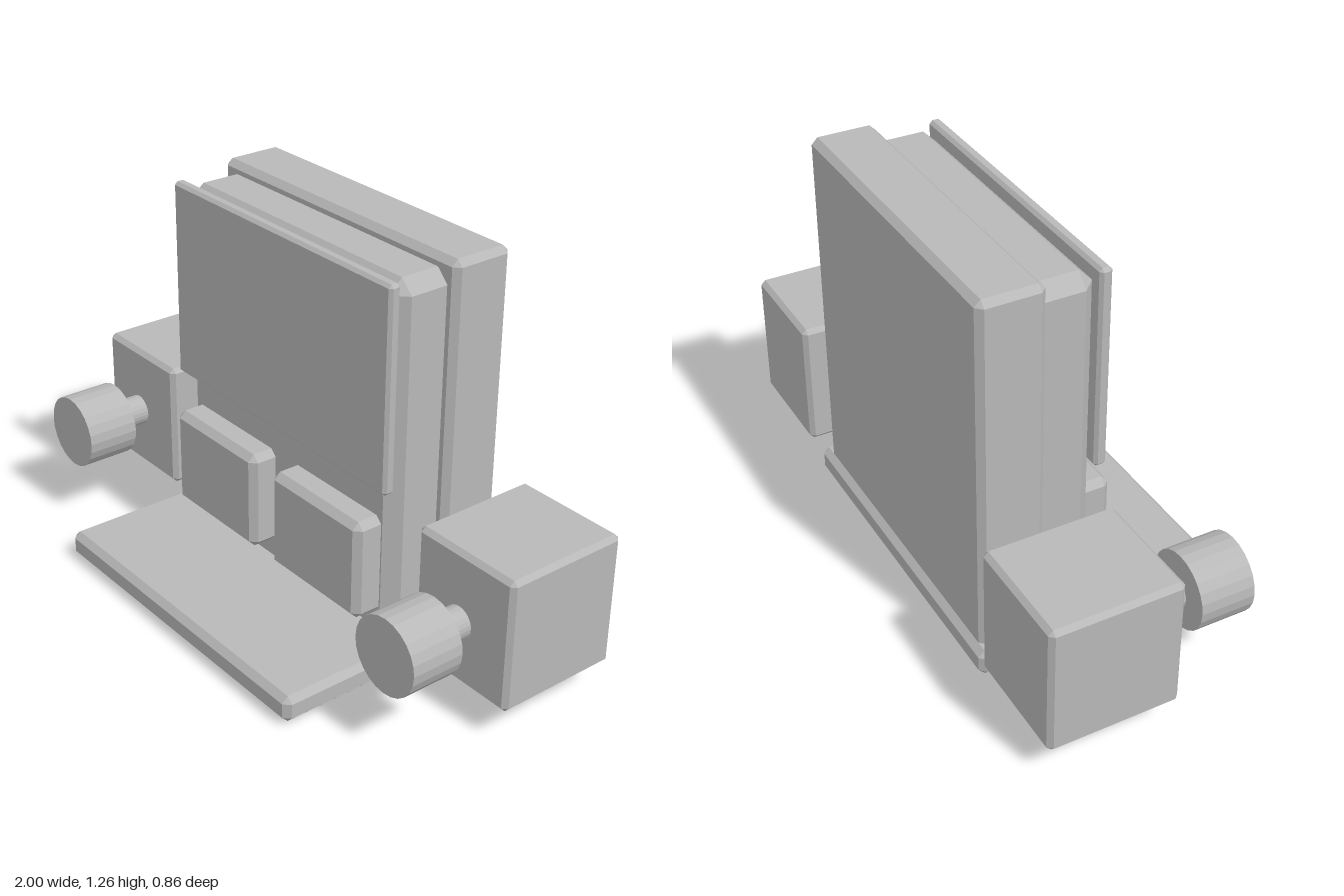
import * as THREE from 'three';
import { ConvexGeometry } from 'three/addons/geometries/ConvexGeometry.js';

// Box given by its min/max limits, with every edge cut flat by c
function chamferBox([x0, x1], [y0, y1], [z0, z1], c) {
  const half = [(x1 - x0) / 2, (y1 - y0) / 2, (z1 - z0) / 2];
  const points = [];
  for (const sx of [-1, 1]) for (const sy of [-1, 1]) for (const sz of [-1, 1]) {
    for (let axis = 0; axis < 3; axis++) {
      const h = half.map((v, i) => (i === axis ? v : v - c));
      points.push(new THREE.Vector3(sx * h[0], sy * h[1], sz * h[2]));
    }
  }
  const geometry = new ConvexGeometry(points);
  geometry.translate((x0 + x1) / 2, (y0 + y1) / 2, (z0 + z1) / 2);
  return geometry;
}

// Cylinder lying along z
function rod(radius, x, y, z0, z1) {
  const geometry = new THREE.CylinderGeometry(radius, radius, z1 - z0, 24);
  geometry.rotateX(Math.PI / 2);
  geometry.translate(x, y, (z0 + z1) / 2);
  return geometry;
}

export function createModel() {
  const model = new THREE.Group();
  model.name = 'console';
  const grey = new THREE.MeshStandardMaterial({ color: 0xb8b8b8 });
  grey.name = 'grey';
  grey.flatShading = true;

  const add = (name, geometry, parent = model) => {
    const mesh = new THREE.Mesh(geometry, grey);
    mesh.name = name;
    parent.add(mesh);
  };

  // Central stack: base tray, back panel, body and screen
  add('base', chamferBox([-0.578, 0.578], [0.01, 0.098], [-0.412, 0.43], 0.02));
  add('backPanel', chamferBox([-0.54, 0.54], [0.002, 1.265], [-0.392, -0.183], 0.02));
  add('body', chamferBox([-0.508, 0.508], [0.03, 1.232], [-0.222, -0.008], 0.043));
  add('screen', chamferBox([-0.513, 0.513], [0.59, 1.242], [-0.01, 0.03], 0.01));

  for (const [side, s] of [['left', 1], ['right', -1]]) {
    // Raised front panel
    const panelX = s > 0 ? [0.045, 0.46] : [-0.46, -0.045];
    add(side + 'FrontPanel', chamferBox(panelX, [0.155, 0.485], [-0.03, 0.082], 0.022));

    // Free-standing side unit with a stem, a round knob and a strip below
    const unit = new THREE.Group();
    unit.name = side + 'Unit';
    model.add(unit);
    const x = s * 0.808;
    add(side + 'UnitBox', chamferBox([x - 0.192, x + 0.192], [0.102, 0.535], [-0.43, -0.01], 0.015), unit);
    add(side + 'Stem', rod(0.051, x, 0.318, 0, 0.089), unit);
    add(side + 'Knob', rod(0.122, x, 0.318, 0.097, 0.273), unit);
    const strip = new THREE.BoxGeometry(0.21, 0.008, 0.018);
    strip.translate(x, 0.088, -0.198);
    add(side + 'Strip', strip, unit);
  }
  return model;
}
